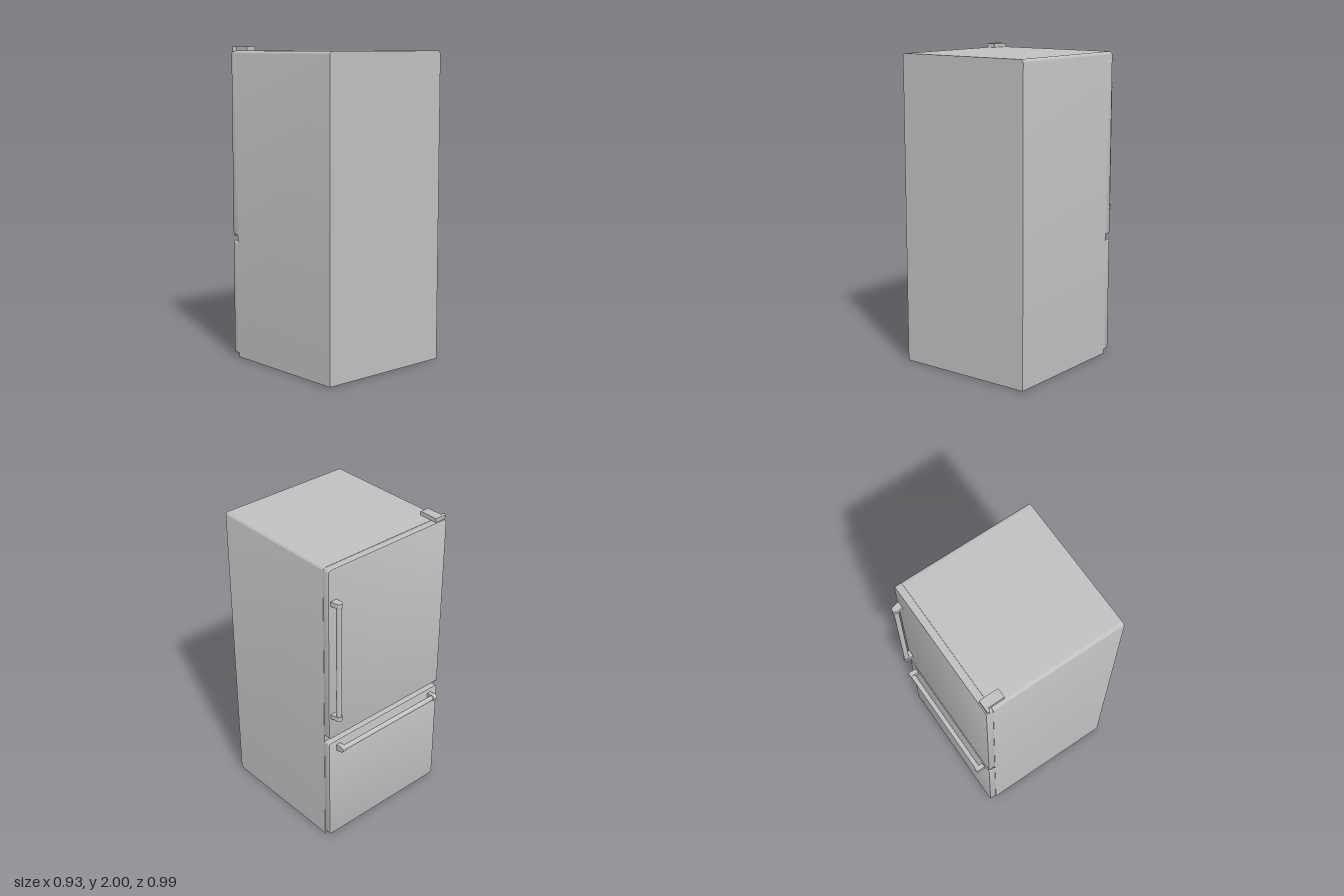
import * as THREE from 'three';
import { toCreasedNormals } from 'three/addons/utils/BufferGeometryUtils.js';

const steel = new THREE.MeshStandardMaterial({ color: 0xc0c0c0 });
steel.name = 'brushed grey';

const W = 0.463;                       // half width of the cabinet
const Z = { back: 0.493, body: -0.39, door: -0.436, grip: -0.496 };

// Rectangle with separate radii for the bottom and top corners.
function roundedRect(x0, x1, y0, y1, rBottom, rTop) {
  const s = new THREE.Shape();
  s.moveTo(x0 + rBottom, y0);
  s.lineTo(x1 - rBottom, y0);
  if (rBottom) s.absarc(x1 - rBottom, y0 + rBottom, rBottom, -Math.PI / 2, 0);
  s.lineTo(x1, y1 - rTop);
  s.absarc(x1 - rTop, y1 - rTop, rTop, 0, Math.PI / 2);
  s.lineTo(x0 + rTop, y1);
  s.absarc(x0 + rTop, y1 - rTop, rTop, Math.PI / 2, Math.PI);
  s.lineTo(x0, y0 + rBottom);
  if (rBottom) s.absarc(x0 + rBottom, y0 + rBottom, rBottom, Math.PI, Math.PI * 1.5);
  return s;
}

// Extrude a shape in xy between two depths.
function slab(shape, z0, z1, bevel = 0) {
  const g = new THREE.ExtrudeGeometry(shape, {
    depth: z1 - z0 - 2 * bevel, curveSegments: 8, bevelEnabled: bevel > 0,
    bevelSize: bevel, bevelThickness: bevel, bevelOffset: -bevel, bevelSegments: 2,
  });
  g.translate(0, 0, z0 + bevel);
  return toCreasedNormals(g, 0.6);
}

function part(parent, name, geometry) {
  const m = new THREE.Mesh(geometry, steel);
  m.name = name;
  parent.add(m);
  return m;
}

function box(x0, x1, y0, y1, z0, z1) {
  const g = new THREE.BoxGeometry(x1 - x0, y1 - y0, z1 - z0);
  return g.translate((x0 + x1) / 2, (y0 + y1) / 2, (z0 + z1) / 2);
}

// Bar along local x with a tapered, round-nosed bracket at each end.
// Local +y is the side on which the bracket foot flares.
function makeHandle(name, length) {
  const h = new THREE.Group();
  h.name = name;
  const thick = 0.03, reach = Z.door - Z.grip, r = 0.02;
  // Bracket profile: u runs along the flare, v away from the door.
  const s = new THREE.Shape();
  s.moveTo(-0.016, 0);
  s.lineTo(0.03, 0);
  s.lineTo(r, reach - r);
  s.absarc(0, reach - r, r, 0, Math.PI);
  s.lineTo(-0.016, 0);
  const g = toCreasedNormals(new THREE.ExtrudeGeometry(s, {
    depth: thick, bevelEnabled: false, curveSegments: 14,
  }), 0.6);
  // (u, v, w) -> (x = w, y = u, z = -v); determinant is negative, so mirror w
  g.translate(0, 0, -thick / 2);
  g.applyMatrix4(new THREE.Matrix4().set(
    0, 0, 1, 0,
    1, 0, 0, 0,
    0, -1, 0, 0,
    0, 0, 0, 1));
  const flip = g.clone().applyMatrix4(new THREE.Matrix4().makeScale(1, 1, 1));
  if (new THREE.Matrix4().set(0, 0, 1, 0, 1, 0, 0, 0, 0, -1, 0, 0, 0, 0, 0, 1).determinant() < 0) {
    flip.scale(-1, 1, 1);
  }
  for (const side of [-1, 1]) {
    part(h, 'handleBracket', flip).position.x = side * (length - thick) / 2;
  }
  const bar = new THREE.CylinderGeometry(0.016, 0.016, length - thick, 24);
  bar.rotateZ(Math.PI / 2);
  part(h, 'handleBar', bar).position.z = -0.039;
  h.position.z = Z.door;
  return h;
}

export function createModel() {
  const fridge = new THREE.Group();
  fridge.name = 'refrigerator';

  // Cabinet with rounded upper edges
  part(fridge, 'cabinet', slab(roundedRect(-W, W, 0, 1.975, 0, 0.024), Z.body, Z.back));

  // Upper door and lower freezer drawer
  part(fridge, 'upperDoor',
    slab(roundedRect(-W, W, 0.8, 1.975, 0.016, 0.024), Z.door, Z.body, 0.003));
  part(fridge, 'freezerDrawer',
    slab(roundedRect(-W, W, 0.02, 0.764, 0.016, 0.016), Z.door, Z.body, 0.003));

  // Door handle (upright) and drawer handle (level)
  const doorHandle = makeHandle('doorHandle', 0.82);
  doorHandle.rotation.z = -Math.PI / 2;
  doorHandle.position.x = 0.42;
  doorHandle.position.y = 1.365;
  const drawerHandle = makeHandle('drawerHandle', 0.816);
  drawerHandle.rotation.z = Math.PI;
  drawerHandle.position.x = -0.002;
  drawerHandle.position.y = 0.717;
  fridge.add(doorHandle, drawerHandle);

  // Top hinge: cover, tongue over the door corner and pivot pin
  const hinge = new THREE.Group();
  hinge.name = 'topHinge';
  part(hinge, 'hingeCover', box(-0.442, -0.38, 1.972, 2.0, -0.428, -0.302));
  part(hinge, 'hingeTongue', box(-0.458, -0.44, 1.97, 2.0, -0.428, -0.408));
  const pin = new THREE.CylinderGeometry(0.01, 0.01, 0.03, 16);
  part(hinge, 'hingePin', pin).position.set(-0.455, 1.985, -0.418);
  fridge.add(hinge);

  // Small hinge plate under the upper door
  part(fridge, 'middleHinge', box(-W, -0.42, 0.794, 0.803, -0.43, Z.body));

  return fridge;
}
